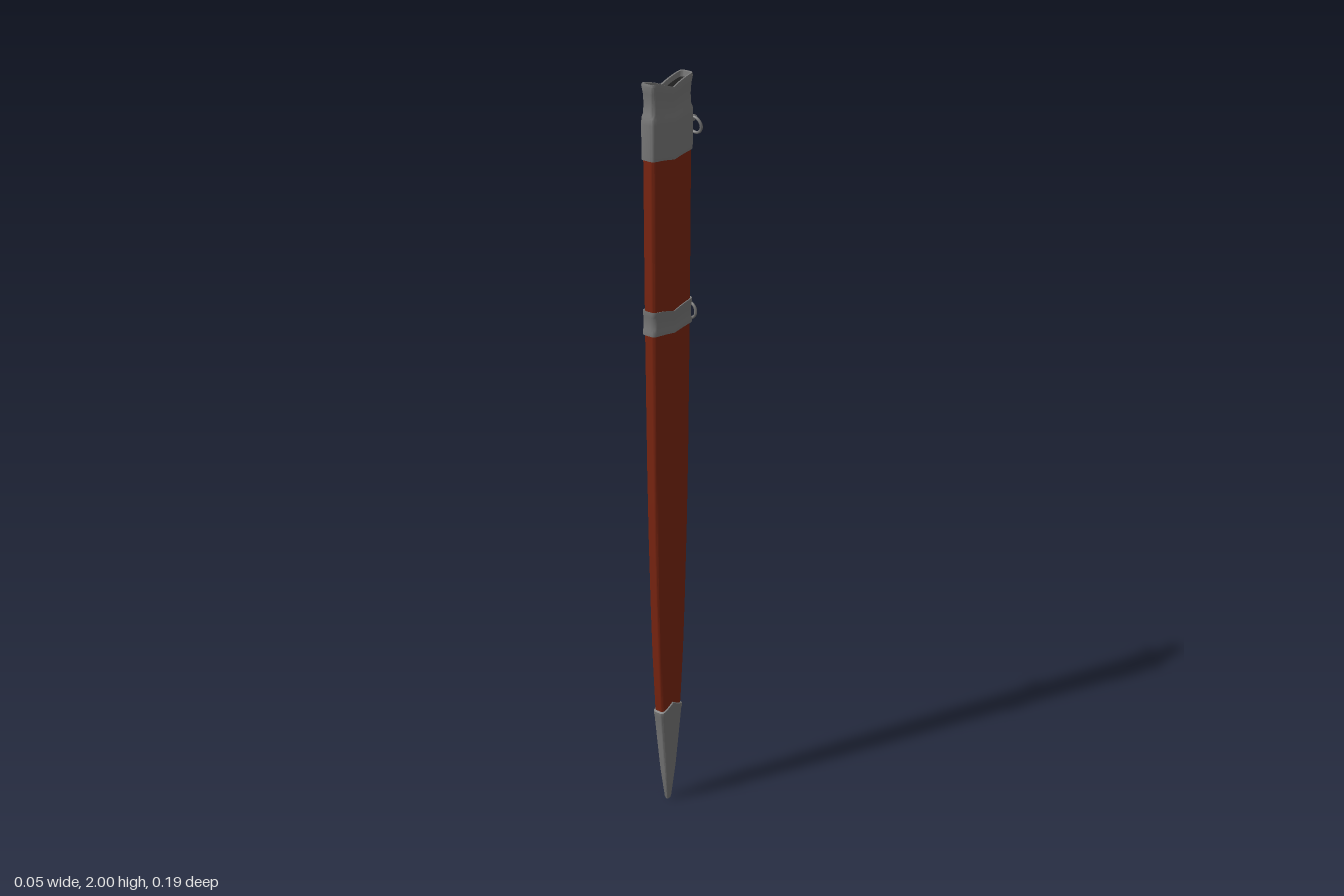
import * as THREE from 'three';
import { toCreasedNormals } from 'three/addons/utils/BufferGeometryUtils.js';

const steel = new THREE.MeshStandardMaterial({ color: 0x767676 });
steel.name = 'steel';
const leather = new THREE.MeshStandardMaterial({ color: 0x782410 });
leather.name = 'redLeather';
const dark = new THREE.MeshStandardMaterial({ color: 0x3a3a3a });
dark.name = 'darkLining';

// Unit-free rounded rectangle with extra points along the long sides
function outline(hx, hz) {
  const r = Math.min(hx, hz) * 0.5, pts = [];
  const corners = [[1, 1, 0], [-1, 1, 1], [-1, -1, 2], [1, -1, 3]];
  for (const [sx, sz, q] of corners) {
    for (let i = 0; i <= 3; i++) {
      const a = (q + i / 3) * Math.PI / 2;
      pts.push([sx * (hx - r) + r * Math.cos(a), sz * (hz - r) + r * Math.sin(a)]);
    }
    // subdivide the two broad sides so their edges can curve to a point
    if (q % 2 === 1) {
      for (let i = 1; i < 10; i++) pts.push([sx * hx, sz * (hz - r) * (1 - i / 5)]);
    }
  }
  // shallow ridge down the middle of each broad side
  return pts.map(([x, z]) => [x * (1 - 0.08 * Math.abs(z) / hz), z]);
}

// Skin through sections [y, halfX, halfZ, centreZ, wave]; wave shifts the middle of the broad sides
function loft(name, sections, material) {
  const pos = [], index = [];
  let n = 0;
  for (const [y, hx, hz, zc, wave = 0] of sections) {
    const pts = outline(hx, hz);
    n = pts.length;
    for (const [x, z] of pts) {
      pos.push(x, y + wave * Math.pow(Math.max(0, 1 - Math.abs(z) / hz), 1.5), z + zc);
    }
  }
  for (let s = 0; s < sections.length - 1; s++) {
    for (let i = 0; i < n; i++) {
      const a = s * n + i, b = s * n + (i + 1) % n;
      index.push(a, a + n, b, b, a + n, b + n);
    }
  }
  const g = new THREE.BufferGeometry();
  g.setAttribute('position', new THREE.Float32BufferAttribute(pos, 3));
  g.setIndex(index);
  const mesh = new THREE.Mesh(toCreasedNormals(g, 0.6), material);
  mesh.name = name;
  return mesh;
}

// Hanging ring with its lug on the back edge
function hanger(name, y, zEdge, zRing, tilt) {
  const group = new THREE.Group();
  group.name = name;
  const ring = new THREE.Mesh(new THREE.TorusGeometry(0.0215, 0.0038, 8, 28), steel);
  ring.name = 'ring';
  ring.position.set(0, y - 0.012, zRing);
  ring.rotation.x = tilt;
  const length = zEdge - zRing + 0.012;
  const lug = new THREE.Mesh(new THREE.CylinderGeometry(0.004, 0.005, length, 10), steel);
  lug.name = 'lug';
  lug.rotation.x = Math.PI / 2;
  lug.position.set(0, y + 0.006, zEdge - length / 2 + 0.007);
  const eye = new THREE.Mesh(new THREE.TorusGeometry(0.006, 0.0025, 8, 16), steel);
  eye.name = 'eye';
  eye.rotation.y = Math.PI / 2;
  eye.position.set(0, y + 0.006, zRing + 0.003);
  group.add(ring, lug, eye);
  return group;
}

export function createModel() {
  const model = new THREE.Group();
  model.name = 'scabbard';

  // Tapering leather body
  model.add(loft('leatherBody', [
    [0.25, 0.0145, 0.034, 0.015],
    [0.3, 0.016, 0.0395, 0.015],
    [0.45, 0.0168, 0.049, 0.015],
    [0.6, 0.0172, 0.0555, 0.015],
    [0.8, 0.0178, 0.062, 0.015],
    [1.0, 0.0182, 0.0665, 0.015],
    [1.4, 0.019, 0.0715, 0.0155],
    [1.85, 0.02, 0.074, 0.016],
  ], leather));

  // Pointed tip fitting
  model.add(loft('chape', [
    [0, 0.001, 0.001, 0.015],
    [0.001, 0.004, 0.006, 0.015],
    [0.01, 0.006, 0.009, 0.015],
    [0.1, 0.0115, 0.0225, 0.015],
    [0.2, 0.0155, 0.0335, 0.015],
    [0.268, 0.0178, 0.041, 0.015, 0.018],
    [0.274, 0.019, 0.0425, 0.015, 0.018],
    [0.283, 0.019, 0.043, 0.015, 0.018],
    [0.286, 0.0155, 0.038, 0.015, 0.018],
  ], steel));

  // Middle band
  model.add(loft('middleBand', [
    [1.364, 0.018, 0.07, 0.0155, -0.008],
    [1.362, 0.0235, 0.0755, 0.0155, -0.008],
    [1.372, 0.0235, 0.0755, 0.0155, -0.009],
    [1.38, 0.0222, 0.0738, 0.0155, -0.01],
    [1.408, 0.0222, 0.0738, 0.0155, -0.012],
    [1.415, 0.0235, 0.0755, 0.0155, -0.013],
    [1.426, 0.0235, 0.0755, 0.0155, -0.014],
    [1.424, 0.018, 0.07, 0.0155, -0.014],
  ], steel));

  // Throat fitting with flared mouth
  model.add(loft('throat', [
    [1.814, 0.019, 0.072, 0.016, -0.01],
    [1.811, 0.0235, 0.0768, 0.016, -0.01],
    [1.825, 0.024, 0.0772, 0.016, -0.01],
    [1.9, 0.0242, 0.0775, 0.016, -0.01],
    [1.915, 0.0235, 0.077, 0.016, -0.01],
    [1.925, 0.0205, 0.0735, 0.016, -0.011],
    [1.95, 0.0195, 0.072, 0.016, -0.014],
    [1.975, 0.0205, 0.074, 0.016, -0.018],
    [1.994, 0.0225, 0.078, 0.016, -0.02],
    [2.0, 0.021, 0.0765, 0.016, -0.02],
    [1.999, 0.0165, 0.0715, 0.016, -0.02],
    [1.985, 0.0155, 0.07, 0.016, -0.019],
  ], steel));

  // Hollow inside, closing far down
  model.add(loft('lining', [
    [1.985, 0.0155, 0.07, 0.016, -0.019],
    [1.8, 0.015, 0.068, 0.016],
    [1.0, 0.011, 0.056, 0.015],
    [0.4, 0.001, 0.004, 0.015],
  ], dark));

  model.add(hanger('upperHanger', 1.872, -0.06, -0.086, 0.22));
  model.add(hanger('lowerHanger', 1.397, -0.058, -0.068, 0.05));
  return model;
}
